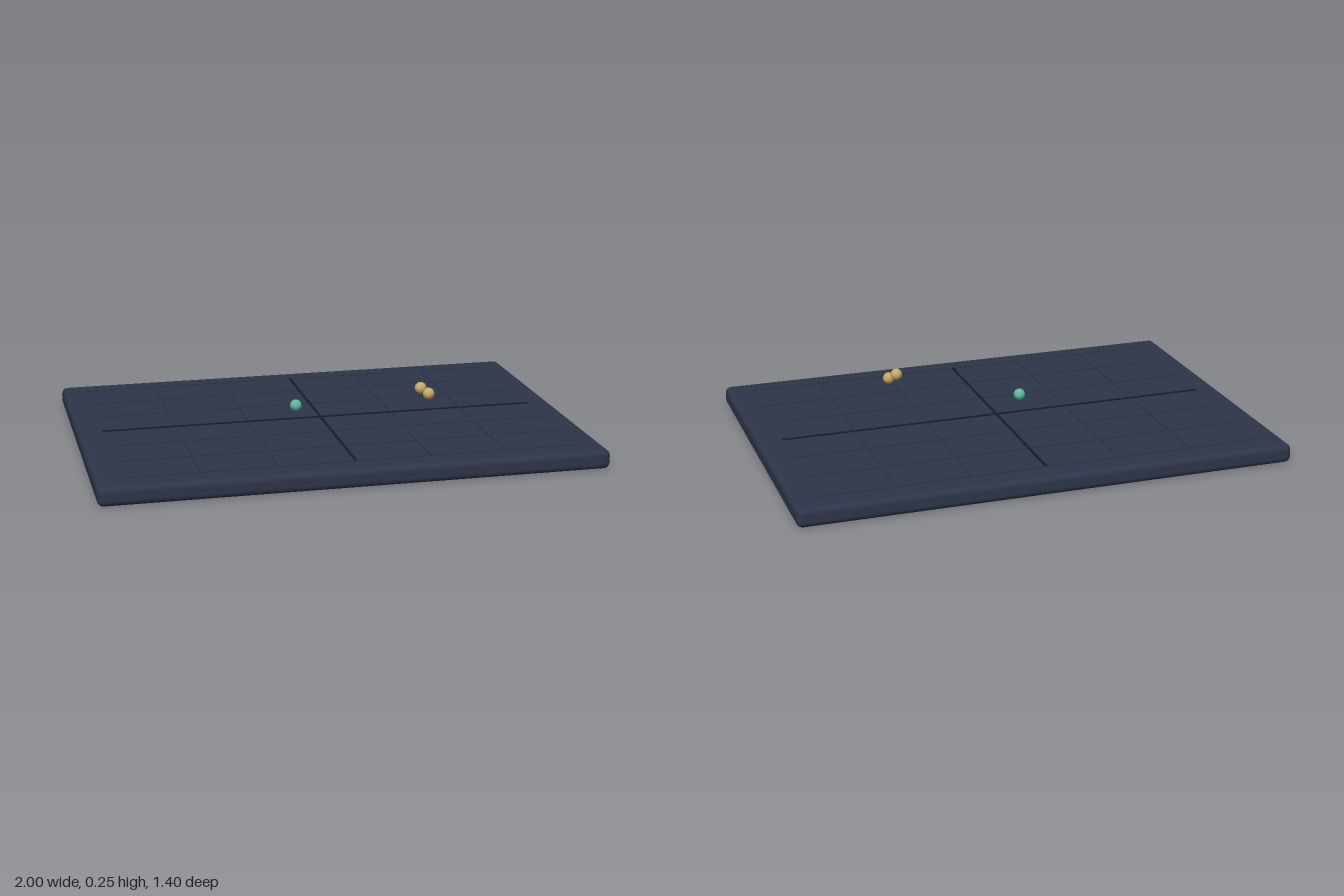
import * as THREE from 'three';
import { RoundedBoxGeometry } from 'three/addons/geometries/RoundedBoxGeometry.js';

function material(name, color) {
  const m = new THREE.MeshStandardMaterial({ color });
  m.name = name;
  return m;
}

export function createModel() {
  const group = new THREE.Group();
  const slate = material('slate', 0x2d3548);
  const gridSlate = material('grid slate', 0x2a3244);
  const ink = material('ink', 0x161d2e);
  const gold = material('gold', 0xc8a765);
  const teal = material('teal', 0x5cb8a0);

  function add(name, geometry, mat, x, y, z) {
    const mesh = new THREE.Mesh(geometry, mat);
    mesh.name = name;
    mesh.position.set(x, y, z);
    group.add(mesh);
  }

  // Rounded board
  const top = 0.076;
  add('board', new RoundedBoxGeometry(2, top, 1.4, 3, 0.024), slate, 0, top / 2, 0);

  // Grid lines; the two centre axes are darker and sit slightly higher
  const strip = (name, w, d, x, z, axis) =>
    add(name, new THREE.BoxGeometry(w, 0.004, d), axis ? ink : gridSlate,
      x, top + (axis ? 0.002 : 0.001), z);
  for (let i = -3; i <= 3; i++) {
    strip('gridLineAcross', 1.8, i ? 0.006 : 0.01, 0, i * 0.2, i === 0);
  }
  for (let i = -2; i <= 2; i++) {
    strip('gridLineDeep', i ? 0.006 : 0.01, 1.2, i * 0.3, 0, i === 0);
  }

  // Floating marker balls
  const ball = new THREE.SphereGeometry(0.024, 16, 12);
  add('tealMarker', ball, teal, -0.11, 0.142, 0.027);
  add('goldMarkerUpper', ball, gold, 0.372, 0.23, 0.19);
  add('goldMarkerLower', ball, gold, 0.4, 0.21, 0.21);

  return group;
}
